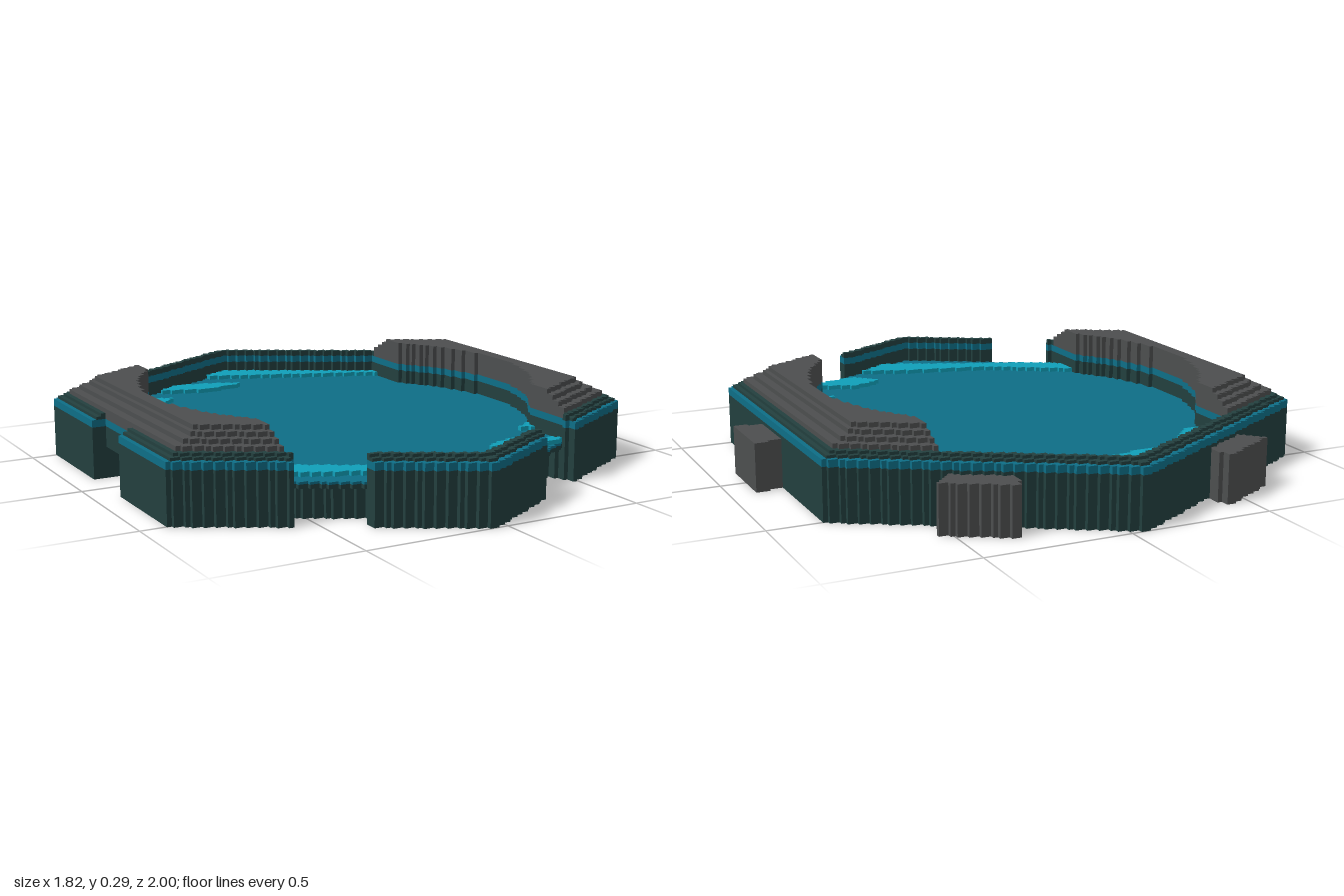
import * as THREE from 'three';

const U = 0.016, CX = -0.048, N = 66; // cell size, hexagon centre, grid reach
const S = Math.sqrt(3) / 2;

const mat = (name, color) => Object.assign(new THREE.MeshStandardMaterial({ color }), { name });

// Stepped slab: every grid cell accepted by inside(x, z), from y0 to y1, outer faces only
function slab(y0, y1, inside) {
  const p = [];
  const quad = (a, b, c, d) => p.push(...a, ...b, ...c, ...a, ...c, ...d);
  const cell = (i, j) => inside((i + 0.5) * U, j * U);
  const runs = (test, emit) => {
    let start = null;
    for (let i = -N; i <= N; i++) {
      const on = i < N && test(i);
      if (on && start === null) start = i;
      if (!on && start !== null) { emit(CX + start * U, CX + i * U); start = null; }
    }
  };
  for (let j = -N; j <= N; j++) {
    const b = (j - 0.5) * U, f = (j + 0.5) * U;
    // top, bottom and the two ends of each row
    runs(i => cell(i, j), (l, r) => {
      quad([l, y1, f], [r, y1, f], [r, y1, b], [l, y1, b]);
      quad([l, y0, b], [r, y0, b], [r, y0, f], [l, y0, f]);
      quad([l, y0, b], [l, y0, f], [l, y1, f], [l, y1, b]);
      quad([r, y0, f], [r, y0, b], [r, y1, b], [r, y1, f]);
    });
    // exposed front and back faces
    runs(i => cell(i, j) && !cell(i, j + 1), (l, r) => quad([l, y0, f], [r, y0, f], [r, y1, f], [l, y1, f]));
    runs(i => cell(i, j) && !cell(i, j - 1), (l, r) => quad([r, y0, b], [l, y0, b], [l, y1, b], [r, y1, b]));
  }
  const g = new THREE.BufferGeometry();
  g.setAttribute('position', new THREE.Float32BufferAttribute(p, 3));
  g.computeVertexNormals();
  return g;
}

// Hexagon distance, round-ended pool and edge connectors
const hex = (x, z) => Math.max(Math.abs(x), Math.abs(x) / 2 + Math.abs(z) * S);
const OUTER = 0.868, INNER = 0.815;
const pool = (x, z) => hex(x, z) < INNER && (Math.abs(x) < 0.53 || Math.hypot(x, z) < 0.69);
const socketSides = [[-1, 0], [-0.5, S], [0.5, S]];
const socket = (x, z, depth) => socketSides.some(([a, b]) =>
  x * a + z * b > depth && Math.abs(z * a - x * b) < 0.12);
const body = (x, z) => hex(x, z) <= OUTER && !socket(x, z, INNER);
const wall = (x, z) => body(x, z) && !pool(x, z);

// Outlines of the bright ripples on the water
const ripples = [
  [[-0.16, -0.87], [-0.04, -0.95], [0.5, -0.66], [0.49, -0.6], [0.2, -0.72]],
  [[-0.42, -0.7], [-0.34, -0.76], [-0.22, -0.745], [-0.08, -0.68], [-0.24, -0.645], [-0.3, -0.66]],
  [[-0.6, -0.63], [-0.54, -0.61], [-0.43, -0.56], [-0.51, -0.48], [-0.6, -0.5]],
  [[-0.6, 0.45], [-0.5, 0.51], [-0.3, 0.63], [-0.14, 0.68], [0, 0.71], [0.2, 0.78],
    [0.07, 0.86], [-0.2, 0.74], [-0.4, 0.66], [-0.6, 0.56]],
  [[0.18, 0.62], [0.296, 0.57], [0.47, 0.635], [0.44, 0.66], [0.27, 0.7]],
  [[0.43, 0.45], [0.49, 0.41], [0.49, 0.48]],
];
function inPolygon(pts, x, z) {
  let odd = false;
  pts.forEach(([ax, az], i) => {
    const [bx, bz] = pts[(i + 1) % pts.length];
    if ((az > z) !== (bz > z) && x < ax + (bx - ax) * (z - az) / (bz - az)) odd = !odd;
  });
  return odd;
}

export function createModel() {
  const model = new THREE.Group();
  const darkGreen = mat('darkGreen', 0x23403f);
  const teal = mat('teal', 0x0e6f88);
  const brightTeal = mat('brightTeal', 0x10a0ba);
  const gray = mat('gray', 0x4d4f50);
  const add = (name, material, y0, y1, inside) => {
    const mesh = new THREE.Mesh(slab(y0, y1, inside), material);
    mesh.name = name;
    model.add(mesh);
  };

  // Base with deep sockets and a round hole underneath
  add('base', darkGreen, 0, 0.108, (x, z) =>
    hex(x, z) <= OUTER && !socket(x, z, 0.77) && Math.hypot(x, z) > 0.11);
  add('basePlate', darkGreen, 0.108, 0.122, body);

  // Water floor and ripples
  add('water', teal, 0.122, 0.13, pool);
  ripples.forEach((pts, i) => add('ripple' + (i + 1), brightTeal, 0.13, 0.145,
    (x, z) => pool(x, z) && inPolygon(pts, x + CX, z)));

  // Surrounding wall, coloured band and stepped cap
  add('wall', darkGreen, 0.122, 0.18, wall);
  add('wallBand', teal, 0.18, 0.205, wall);
  [0.85, 0.835].forEach((limit, i) => add('wallCap' + (i + 1), darkGreen, 0.205 + i * 0.01, 0.215 + i * 0.01,
    (x, z) => wall(x, z) && hex(x, z) >= INNER && hex(x, z) <= limit));

  // Terraced banks on both sides
  const levels = [0.205, 0.241, 0.257, 0.273, 0.289];
  for (let k = 0; k < 4; k++) {
    add('bankStep' + (k + 1), gray, levels[k], levels[k + 1],
      (x, z) => wall(x, z) && hex(x, z) < INNER - k * 0.028);
  }

  // Dovetail tabs on the sides opposite the sockets
  socketSides.forEach(([a, b], i) => add('tab' + (i + 1), gray, 0, 0.168, (x, z) => {
    const n = -(x * a + z * b), t = Math.abs(z * a - x * b);
    return hex(x, z) > OUTER && n > 0.8 && n < 0.962 && t < 0.1 + (n - 0.866) * 0.26;
  }));
  return model;
}
